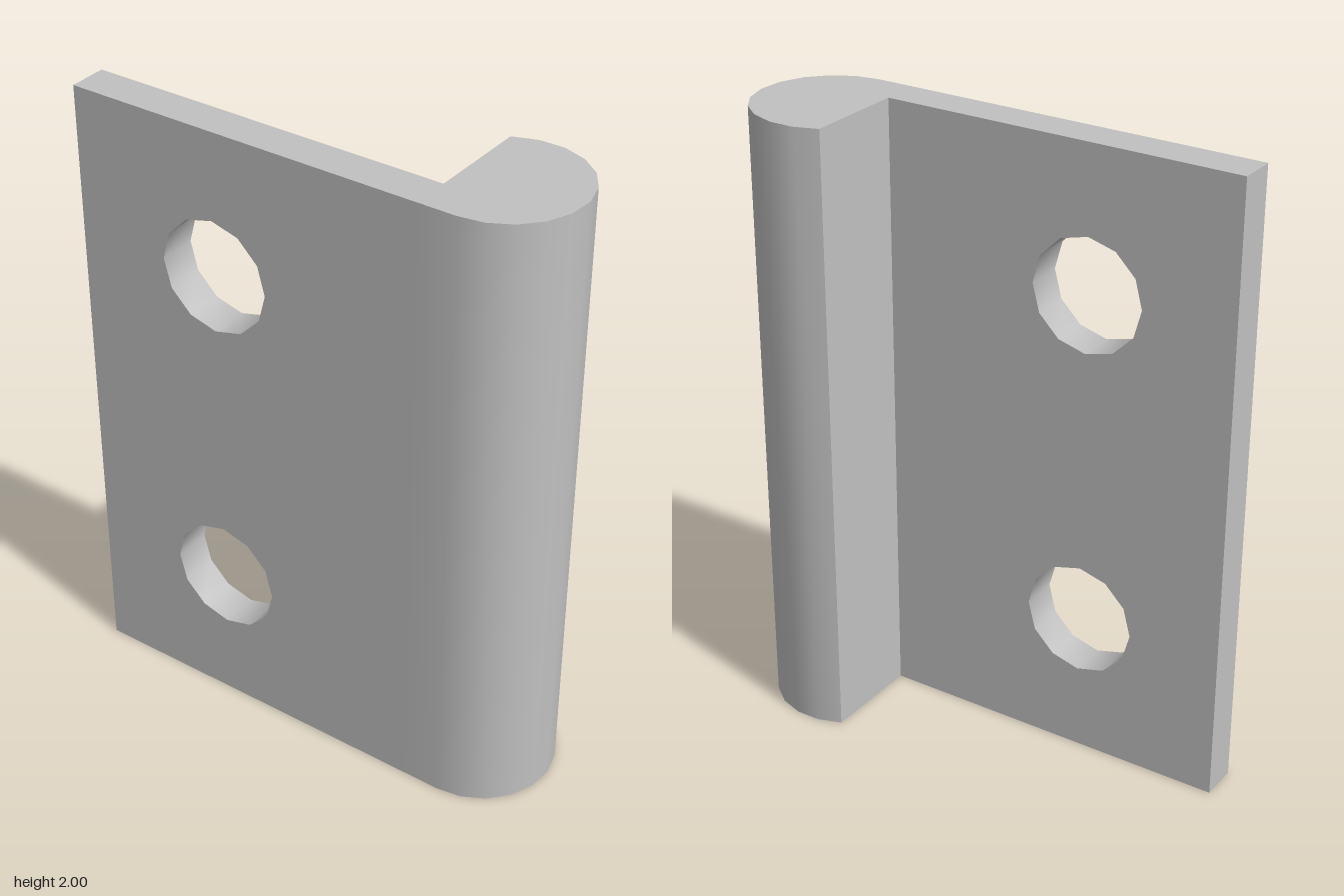
import * as THREE from 'three';
import { toCreasedNormals } from 'three/addons/utils/BufferGeometryUtils.js';

const HEIGHT = 2;
const RADIUS = 0.239;      // barrel radius
const BARREL_X = 0.519;    // barrel axis
const LEAF_LEFT = -0.76;
const LEAF_BACK = 0.117;   // back face of the leaf
const JOIN_X = 0.4;        // where the leaf meets the barrel section
const CREASE = THREE.MathUtils.degToRad(40);

export function createModel() {
  const group = new THREE.Group();
  group.name = 'hingeHalf';

  const steel = new THREE.MeshStandardMaterial({ color: 0xc0c0c0 });
  steel.name = 'steel grey';

  function addPart(name, geometry) {
    const mesh = new THREE.Mesh(toCreasedNormals(geometry, CREASE), steel);
    mesh.name = name;
    group.add(mesh);
  }

  // Flat leaf with two twelve-sided screw holes
  const leaf = new THREE.Shape([
    new THREE.Vector2(LEAF_LEFT, 0),
    new THREE.Vector2(JOIN_X, 0),
    new THREE.Vector2(JOIN_X, HEIGHT),
    new THREE.Vector2(LEAF_LEFT, HEIGHT),
  ]);
  for (const holeY of [0.46, 1.54]) {
    const rim = [];
    for (let i = 0; i < 12; i++) {
      const a = (-i / 12) * Math.PI * 2;
      rim.push(new THREE.Vector2(-0.28 + 0.181 * Math.cos(a), holeY + 0.181 * Math.sin(a)));
    }
    leaf.holes.push(new THREE.Path(rim));
  }
  const leafGeometry = new THREE.ExtrudeGeometry(leaf, { depth: RADIUS - LEAF_BACK, bevelEnabled: false });
  leafGeometry.translate(0, 0, LEAF_BACK);
  addPart('leaf', leafGeometry);

  // Barrel cross-section: an arc curling from the leaf's front face round to its back
  const section = [
    new THREE.Vector2(JOIN_X, -LEAF_BACK),
    new THREE.Vector2(JOIN_X, -RADIUS),
  ];
  const start = -Math.PI / 2;
  const sweep = Math.PI * 1.5 + Math.asin(LEAF_BACK / RADIUS) - start - Math.PI / 2 - Math.PI / 2;
  for (let i = 0; i <= 11; i++) {
    const a = start + (sweep * i) / 11;
    section.push(new THREE.Vector2(BARREL_X + RADIUS * Math.cos(a), RADIUS * Math.sin(a)));
  }
  const barrelGeometry = new THREE.ExtrudeGeometry(new THREE.Shape(section), { depth: HEIGHT, bevelEnabled: false });
  barrelGeometry.rotateX(-Math.PI / 2);
  addPart('barrel', barrelGeometry);

  return group;
}
